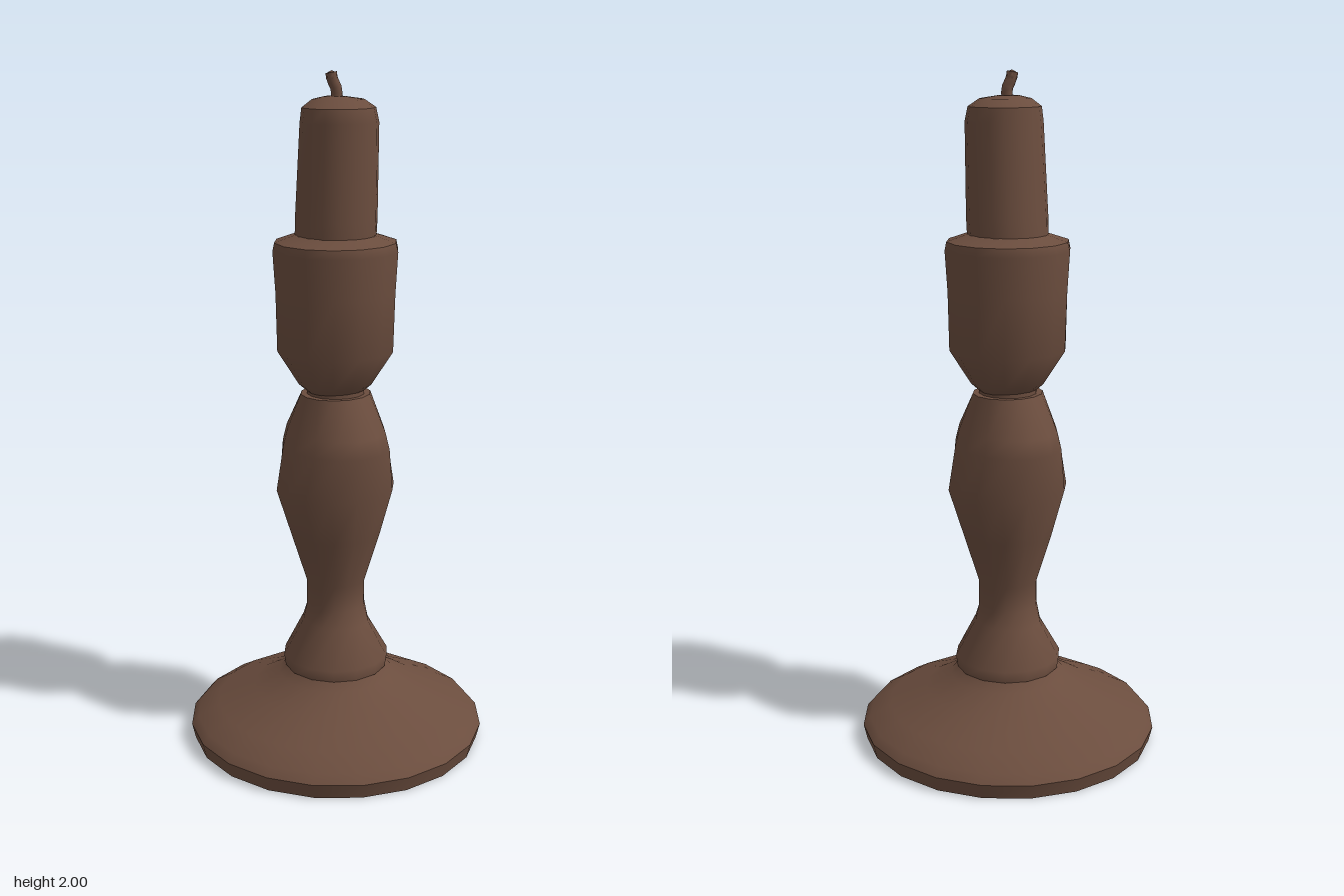
import * as THREE from 'three';

// Loft of closed oval rings [y, rx, rz, cx = 0, cz = 0]; optional flat caps
function loft(rows, n, capBottom, capTop) {
  const pos = [], idx = [];
  const ring = ([y, rx, rz, cx = 0, cz = 0]) => {
    const start = pos.length / 3;
    for (let i = 0; i < n; i++) {
      const a = (i + 0.5) / n * Math.PI * 2;
      pos.push(cx + Math.sin(a) * rx, y, cz + Math.cos(a) * rz);
    }
    return start;
  };
  rows.forEach(ring);
  for (let r = 0; r < rows.length - 1; r++) {
    for (let i = 0; i < n; i++) {
      const j = (i + 1) % n, a = r * n + i, b = r * n + j;
      idx.push(a, b, b + n, a, b + n, a + n);
    }
  }
  // Caps use their own ring so the edge stays sharp
  const cap = (row, up) => {
    const s = ring(row), c = pos.length / 3;
    pos.push(row[3] || 0, row[0], row[4] || 0);
    for (let i = 0; i < n; i++) {
      const a = s + i, b = s + (i + 1) % n;
      if (up) idx.push(c, a, b); else idx.push(c, b, a);
    }
  };
  if (capBottom) cap(rows[0], false);
  if (capTop) cap(rows[rows.length - 1], true);
  const g = new THREE.BufferGeometry();
  g.setAttribute('position', new THREE.Float32BufferAttribute(pos, 3));
  g.setIndex(idx);
  g.computeVertexNormals();
  return g;
}

export function createModel() {
  const group = new THREE.Group();
  const wood = new THREE.MeshStandardMaterial({ color: 0x6b4d3e });
  wood.name = 'brown wood';
  const add = (name, geometry) => {
    const mesh = new THREE.Mesh(geometry, wood);
    mesh.name = name;
    group.add(mesh);
  };

  // Wide foot: thin rim, then a sloping dish
  add('footRim', loft([[0, 0.435, 0.44], [0.045, 0.445, 0.452]], 20, true, false));
  add('foot', loft([
    [0.045, 0.445, 0.452], [0.07, 0.425, 0.43], [0.105, 0.36, 0.37],
    [0.155, 0.25, 0.25], [0.2, 0.175, 0.17], [0.225, 0.15, 0.15],
  ], 20, false, true));

  // Turned stem: flared collar, narrow neck, swelling belly
  add('stem', loft([
    [0.225, 0.155, 0.155], [0.26, 0.16, 0.16], [0.37, 0.095, 0.11],
    [0.42, 0.09, 0.085], [0.5, 0.088, 0.09], [0.65, 0.135, 0.135],
    [0.79, 0.182, 0.165], [0.92, 0.15, 0.178], [0.97, 0.138, 0.165], [1.08, 0.105, 0.1],
  ], 14, true, true));

  // Narrow joint between stem and holder
  add('joint', loft([[1.07, 0.085, 0.085], [1.1, 0.085, 0.085]], 14, false, false));

  // Candle holder cup
  add('cup', loft([
    [1.088, 0.085, 0.08], [1.11, 0.11, 0.105], [1.21, 0.172, 0.17],
    [1.38, 0.174, 0.178], [1.5, 0.182, 0.184], [1.525, 0.178, 0.175],
  ], 14, true, false));
  add('cupLip', loft([[1.525, 0.178, 0.175], [1.545, 0.115, 0.12]], 14, false, true));

  // Candle with a softly rounded top
  add('candle', loft([
    [1.54, 0.115, 0.12], [1.59, 0.116, 0.12, 0, 0.003], [1.86, 0.113, 0.107, 0, 0.018],
    [1.9, 0.106, 0.1, 0, 0.015],
  ], 16, false, false));
  add('candleTop', loft([
    [1.9, 0.106, 0.1, 0, 0.015], [1.922, 0.075, 0.07, 0, 0.012], [1.93, 0.03, 0.03, -0.01, 0.01],
  ], 16, false, true));

  // Bent wick
  const wickPath = new THREE.CatmullRomCurve3([
    new THREE.Vector3(-0.005, 1.91, 0.01), new THREE.Vector3(-0.005, 1.95, 0.01),
    new THREE.Vector3(-0.015, 1.975, 0.005), new THREE.Vector3(-0.018, 1.995, 0.003),
  ]);
  add('wick', new THREE.TubeGeometry(wickPath, 6, 0.016, 6));
  const tip = new THREE.SphereGeometry(0.017, 6, 4);
  tip.translate(-0.016, 1.983, 0.004);
  add('wickTip', tip);

  return group;
}
